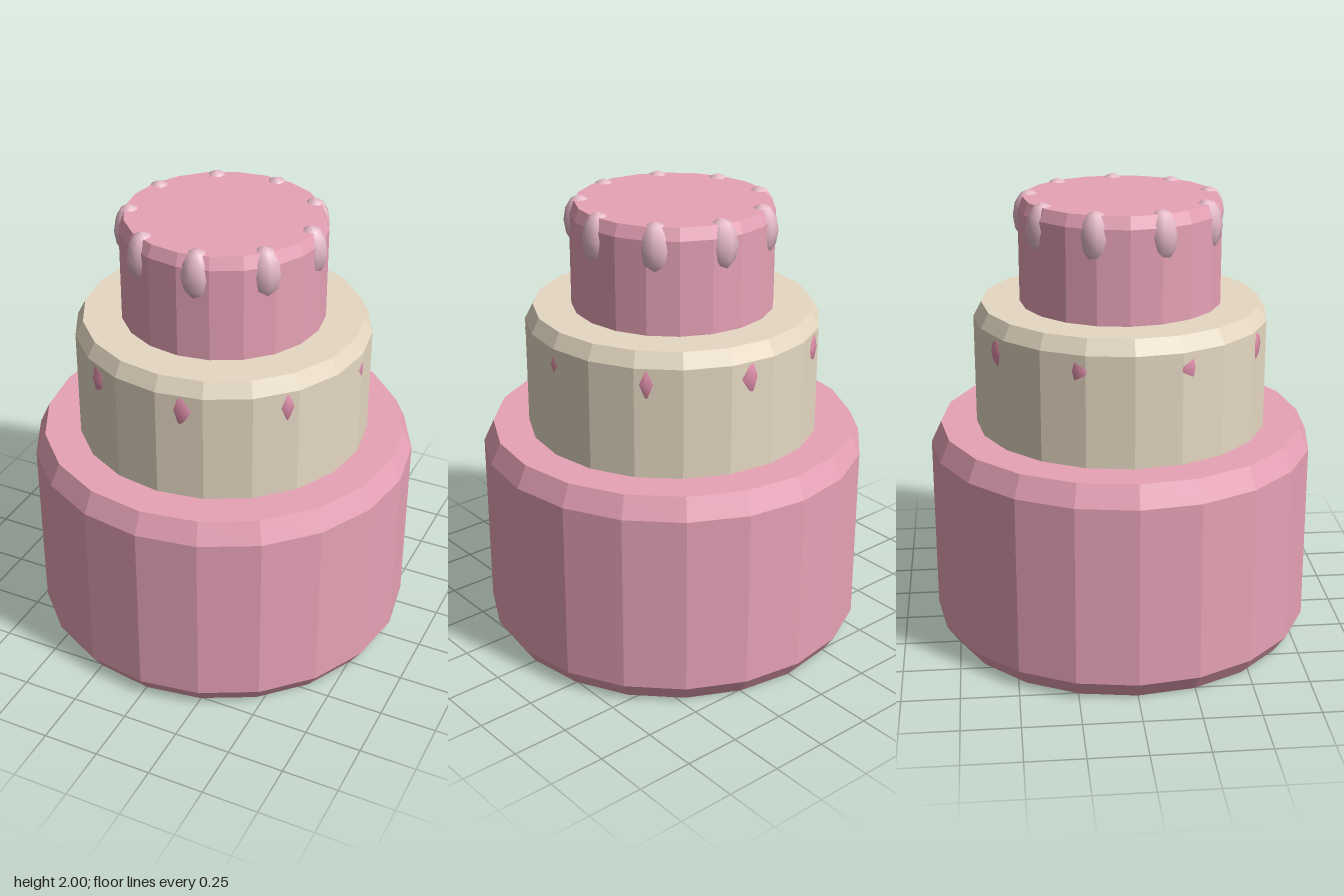
import * as THREE from 'three';

const mat = (name, color, flatShading = false) => {
  const m = new THREE.MeshStandardMaterial({ color, flatShading });
  m.name = name;
  return m;
};

export function createModel() {
  const pink = mat('pinkIcing', 0xe8a3b7, true);
  const cream = mat('creamIcing', 0xe6d9c3, true);
  const pale = mat('paleDrip', 0xe6bac8);
  const rose = mat('roseStud', 0xe291ac);

  const cake = new THREE.Group();
  cake.name = 'tieredCake';

  // Faceted, bevelled tiers: [radius, height] profile from bottom to top
  const tier = (name, profile, material) => {
    const points = profile.map(([r, y]) => new THREE.Vector2(r, y));
    const mesh = new THREE.Mesh(new THREE.LatheGeometry(points, 20), material);
    mesh.name = name;
    cake.add(mesh);
  };
  tier('bottomTier', [[0, 0], [0.795, 0], [0.85, 0.08], [0.85, 0.88], [0.805, 0.975], [0, 0.975]], pink);
  tier('middleTier', [[0, 0.95], [0.645, 0.95], [0.645, 1.46], [0.61, 1.525], [0, 1.525]], cream);
  tier('topTier', [[0, 1.5], [0.442, 1.5], [0.442, 1.93], [0.42, 1.982], [0, 1.982]], pink);

  // Rings of nine elongated beads, all sharing one low-poly ellipsoid
  const bead = new THREE.SphereGeometry(1, 8, 6).scale(0.07, 0.113, 0.07);
  const ring = (name, radius, y, material) => {
    const group = new THREE.Group();
    group.name = name + 's';
    for (let i = 0; i < 9; i++) {
      const a = (i / 9) * Math.PI * 2;
      const mesh = new THREE.Mesh(bead, material);
      mesh.name = name;
      mesh.position.set(radius * Math.cos(a), y, radius * Math.sin(a));
      group.add(mesh);
    }
    cake.add(group);
  };
  ring('icingDrip', 0.397, 1.887, pale);
  ring('sideStud', 0.581, 1.39, rose);

  return cake;
}
